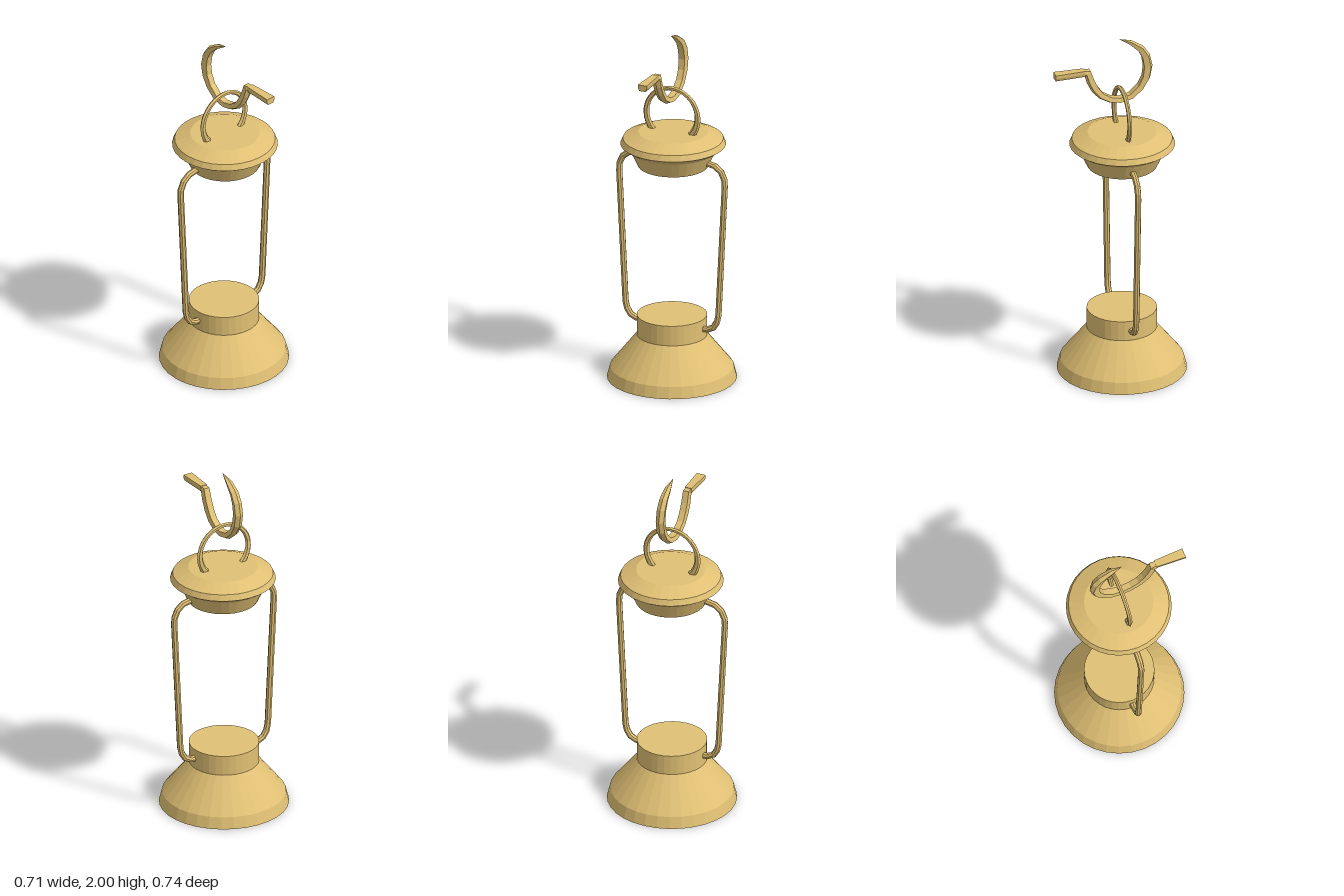
import * as THREE from 'three';

const brass = new THREE.MeshStandardMaterial({ color: 0xe0c074, flatShading: true });
const AXIS_Z = -0.013; // the lantern axis sits slightly behind the hook bar's centre

// Turned solid from [radius, height] pairs
function turned(name, profile) {
  const points = profile.map(([r, y]) => new THREE.Vector2(r, y));
  const mesh = new THREE.Mesh(new THREE.LatheGeometry(points, 32), brass);
  mesh.name = name;
  mesh.position.z = AXIS_Z;
  return mesh;
}

// Sweeps a section of [normal, across] pairs along a path in the xy plane.
// Path points are [x, y, half thickness, half width].
function sweep(name, path, section) {
  const n = section.length, positions = [], index = [];
  path.forEach(([x, y, h, w], i) => {
    const a = path[Math.max(i - 1, 0)], b = path[Math.min(i + 1, path.length - 1)];
    const t = new THREE.Vector2(b[0] - a[0], b[1] - a[1]).normalize();
    for (const [u, v] of section) positions.push(x - t.y * u * h, y + t.x * u * h, v * w);
  });
  for (let i = 0; i < path.length - 1; i++) {
    for (let j = 0; j < n; j++) {
      const a = i * n + j, b = i * n + (j + 1) % n;
      index.push(a, b, b + n, a, b + n, a + n);
    }
  }
  const last = (path.length - 1) * n;
  for (let j = 1; j < n - 1; j++) {
    index.push(0, j + 1, j, last, last + j, last + j + 1);
  }
  const geometry = new THREE.BufferGeometry();
  geometry.setAttribute('position', new THREE.Float32BufferAttribute(positions, 3));
  geometry.setIndex(index);
  geometry.computeVertexNormals();
  const mesh = new THREE.Mesh(geometry, brass);
  mesh.name = name;
  return mesh;
}

const polygon = (sides) => Array.from({ length: sides }, (_, i) => {
  const a = (i / sides) * Math.PI * 2;
  return [Math.cos(a), Math.sin(a)];
});

export function createModel() {
  const model = new THREE.Group();
  model.name = 'lantern';

  // Flared foot with a straight neck
  model.add(turned('base', [[0, 0], [0.357, 0], [0.34, 0.065], [0.193, 0.25], [0.193, 0.365], [0, 0.365]]));

  // Lid with a sharp rim
  const lid = turned('lid', [[0, 1.24], [0.193, 1.24], [0.235, 1.33], [0.29, 1.367], [0.276, 1.4], [0.19, 1.437], [0, 1.437]]);
  lid.position.x = 0.007;
  model.add(lid);

  // Bent side wires joining base and lid
  const wire = [
    [0.18, 0.306], [0.215, 0.308], [0.25, 0.325], [0.272, 0.36], [0.281, 0.4],
    [0.319, 1.16], [0.317, 1.2], [0.297, 1.245], [0.26, 1.273], [0.2, 1.285],
  ].map(([x, y]) => [x, y, 0.018, 0.018]);
  for (const side of [1, -1]) {
    const mesh = sweep(side > 0 ? 'leftWire' : 'rightWire', wire, polygon(8));
    mesh.position.z = AXIS_Z;
    if (side < 0) mesh.rotation.y = Math.PI;
    model.add(mesh);
  }

  // Open ring on the lid, thicker towards its feet
  const ringPath = [];
  for (let i = 0; i <= 28; i++) {
    const a = THREE.MathUtils.degToRad(-40 + (260 * i) / 28);
    const h = 0.0125 + 0.005 * (1 - Math.sin(a));
    ringPath.push([(0.172 - h) * Math.cos(a), 1.528 + (0.172 - h) * Math.sin(a), h, 0.0125]);
  }
  const ring = sweep('ring', ringPath, polygon(6));
  ring.position.z = AXIS_Z;
  model.add(ring);

  // Hook with a ridged outer edge, tapering to a point
  const hook = sweep('hook', [
    [0.21, 1.822, 0.016, 0.019], [0.185, 1.823, 0.02, 0.023], [0.167, 1.765, 0.021, 0.024],
    [0.142, 1.715, 0.021, 0.024], [0.106, 1.67, 0.019, 0.024], [0.055, 1.64, 0.018, 0.024],
    [0, 1.63, 0.017, 0.024], [-0.065, 1.645, 0.018, 0.024], [-0.12, 1.693, 0.02, 0.024],
    [-0.152, 1.75, 0.023, 0.024], [-0.163, 1.815, 0.025, 0.024], [-0.15, 1.88, 0.023, 0.024],
    [-0.12, 1.93, 0.019, 0.023], [-0.065, 1.972, 0.012, 0.018], [0, 1.999, 0.001, 0.001],
  ], [[1, 0], [0.45, 1], [-1, 0.75], [-1, -0.75], [0.45, -1]]);

  // Flat bar that carries the hook
  const bar = sweep('hookBar', [[0.37, 1.82, 0.018, 0.027], [0.2, 1.822, 0.018, 0.02]],
    [[1, 0.7], [0, 1], [-1, 1], [-1, -1], [0, -1], [1, -0.7]]);
  for (const part of [hook, bar]) {
    part.rotation.y = -Math.PI / 2;
    model.add(part);
  }
  return model;
}
